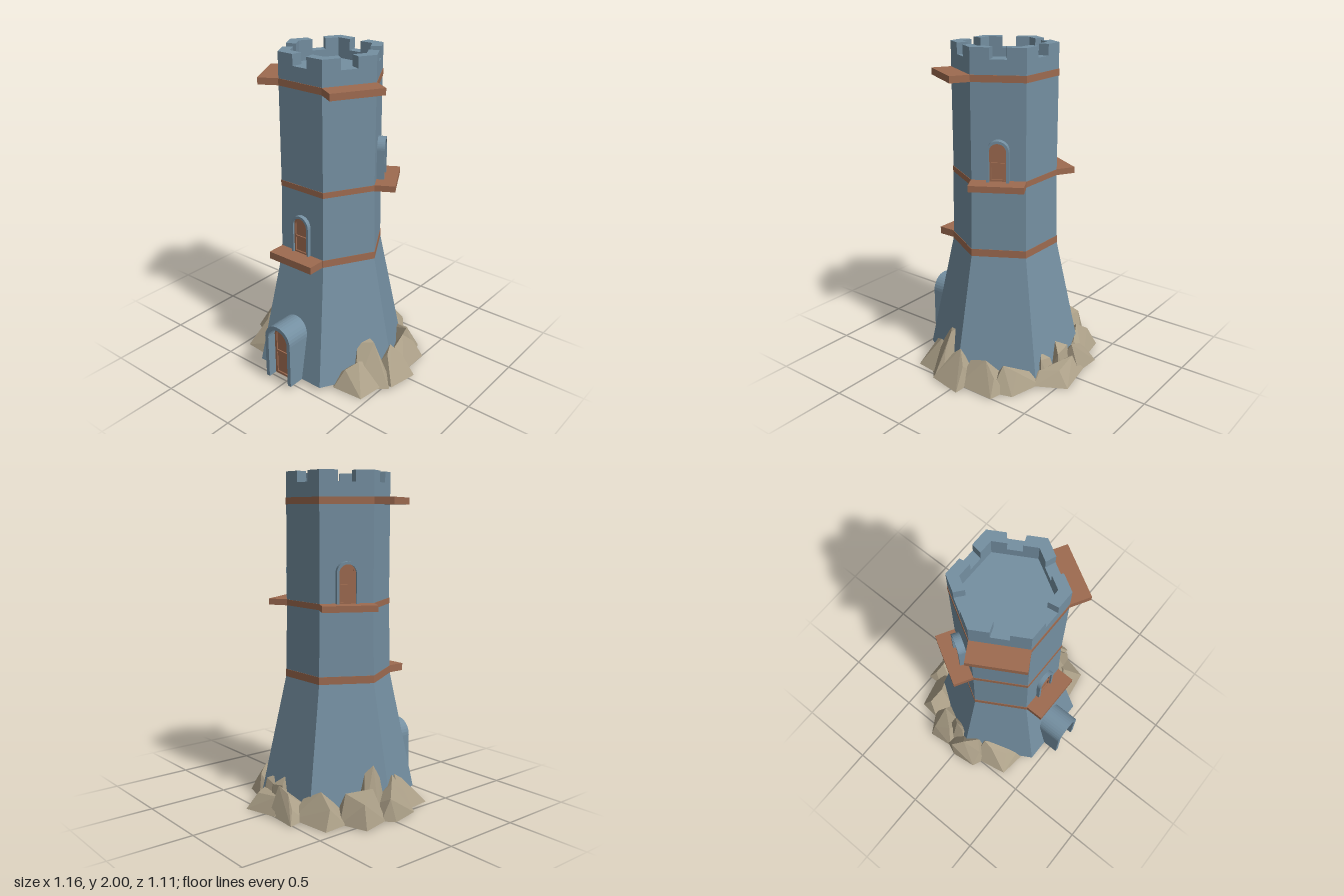
import * as THREE from 'three';
import { ConvexGeometry } from 'three/addons/geometries/ConvexGeometry.js';

const mat = (color) => new THREE.MeshStandardMaterial({ color, flatShading: true });
const stone = mat(0x748fa1), wood = mat(0x9e6b50), rockMat = mat(0xaca088);
const R = 0.315, INNER = 0.245, APOTHEM = 0.273, BASE = 0.03;

function add(parent, name, geo, material) {
  const flat = geo.index ? geo.toNonIndexed() : geo;
  flat.computeVertexNormals();
  const mesh = new THREE.Mesh(flat, material);
  mesh.name = name;
  parent.add(mesh);
  return mesh;
}

function extrude(shape, depth) {
  return new THREE.ExtrudeGeometry(shape, { depth, bevelEnabled: false, curveSegments: 8 });
}

// Round-headed outline standing on y0
function arch(w, y0, top, Type = THREE.Shape) {
  const p = new Type();
  p.moveTo(-w / 2, y0);
  p.lineTo(w / 2, y0);
  p.lineTo(w / 2, top - w / 2);
  p.absarc(0, top - w / 2, w / 2, 0, Math.PI, false);
  p.closePath();
  return p;
}

// Arched stone surround with a two-panel wooden door; z is distance from the tower axis
function doorway(name, w, h, rim, back, woodFront, front) {
  const g = new THREE.Group();
  g.name = name;
  const surround = new THREE.Shape();
  const r = w / 2 + rim, spring = h - w / 2;
  surround.moveTo(-r, 0);
  surround.lineTo(-w / 2, 0);
  surround.lineTo(-w / 2, spring);
  surround.absarc(0, spring, w / 2, Math.PI, 0, true);
  surround.lineTo(w / 2, 0);
  surround.lineTo(r, 0);
  surround.lineTo(r, spring);
  surround.absarc(0, spring, r, 0, Math.PI, false);
  surround.closePath();
  add(g, name + 'Surround', extrude(surround, front - back), stone).position.z = back;

  const edge = w * 0.1, mid = h * 0.46, pw = w - edge * 2;
  const rails = arch(w, 0, h);
  const lower = new THREE.Path();
  lower.moveTo(-pw / 2, edge);
  lower.lineTo(pw / 2, edge);
  lower.lineTo(pw / 2, mid - edge / 2);
  lower.lineTo(-pw / 2, mid - edge / 2);
  lower.closePath();
  rails.holes.push(lower, arch(pw, mid + edge / 2, h - edge, THREE.Path));
  add(g, name + 'Rails', extrude(rails, 0.01), wood).position.z = woodFront - 0.01;
  add(g, name + 'Panel', extrude(arch(w, 0, h), woodFront - 0.008 - back), wood).position.z = back;
  return g;
}

// Faceted boulder: outer foot points [deg, r], crown points [deg, r, y]; deg runs from +x towards -z
function rock(parent, foot, crown) {
  const at = (deg, r, y) => {
    const a = THREE.MathUtils.degToRad(deg);
    return new THREE.Vector3(r * Math.cos(a), y, -r * Math.sin(a));
  };
  const pts = crown.map(([a, r, y]) => at(a, r, y));
  foot.forEach(([a, r], i) => pts.push(at(a, r, i % 2 ? 0 : 0.015)));
  for (const [a] of [foot[0], foot[foot.length - 1]]) pts.push(at(a, 0.39, 0.005), at(a, 0.39, 0.05));
  add(parent, 'rock', new ConvexGeometry(pts), rockMat);
}

export function createModel() {
  const model = new THREE.Group();
  model.name = 'watchtower';
  const tower = new THREE.Group();
  tower.name = 'tower';
  tower.position.set(-0.015, 0, 0.033);
  model.add(tower);

  // Six-sided body with flared foot and sunken roof floor
  const profile = [[0, BASE], [0.485, BASE], [0.325, 0.775], [R, 1.23], [R, 1.935],
    [INNER, 1.935], [INNER, 1.88], [0, 1.88]].map(([x, y]) => new THREE.Vector2(x, y));
  add(tower, 'body', new THREE.LatheGeometry(profile, 6, Math.PI / 2), stone);

  // Corner battlements, leaving a notch in the middle of every side
  const notch = (radius, half, sign) => {
    const ap = radius * Math.cos(Math.PI / 6), c = Math.cos(Math.PI / 6);
    return new THREE.Vector2(ap * c + half * 0.5, sign * (ap * 0.5 - half * c));
  };
  const corner = new THREE.Shape([
    new THREE.Vector2(R, 0), notch(R, 0.05, 1), notch(INNER, 0.04, 1),
    new THREE.Vector2(INNER, 0), notch(INNER, 0.04, -1), notch(R, 0.05, -1),
  ]);
  for (let i = 0; i < 6; i++) {
    const geo = extrude(corner, 0.065).rotateX(-Math.PI / 2).rotateY(i * Math.PI / 3);
    add(tower, 'battlement', geo, stone).position.y = 1.935;
  }

  // Wooden bands
  for (const [y, h, r] of [[0.797, 0.045, 0.327], [1.228, 0.035, 0.318], [1.83, 0.04, 0.318]]) {
    const geo = new THREE.CylinderGeometry(r, r, h, 6, 1, false, Math.PI / 2);
    add(tower, 'band', geo, wood).position.y = y;
  }

  // Balcony planks, by side of the tower
  const side = (deg, object) => {
    const pivot = new THREE.Group();
    pivot.name = object.name + 'Side';
    pivot.rotation.y = THREE.MathUtils.degToRad(deg);
    pivot.add(object);
    tower.add(pivot);
  };
  for (const [deg, y, h] of [[0, 0.797, 0.045], [120, 1.228, 0.037], [-120, 1.228, 0.037],
    [60, 1.83, 0.04], [-60, 1.83, 0.04]]) {
    const plank = add(tower, 'balcony', new THREE.BoxGeometry(0.32, h, 0.16), wood);
    plank.position.set(0, y, APOTHEM + 0.04);
    side(deg, plank);
  }

  // Main door and the small doors above the balconies
  const door = doorway('mainDoor', 0.15, 0.36, 0.025, 0.3, 0.465, 0.522);
  door.position.y = BASE;
  side(0, door);
  for (const [deg, y, front] of [[0, 0.82, 0.302], [120, 1.246, 0.318], [-120, 1.246, 0.318]]) {
    const small = doorway('balconyDoor', 0.1, 0.228, 0.015, 0.25, 0.291, front);
    small.position.y = y;
    side(deg, small);
  }

  // Boulders round the foot, leaving the doorstep free
  const rocks = new THREE.Group();
  rocks.name = 'rocks';
  model.add(rocks);
  // left flank
  rock(rocks, [[-54, 0.47], [-37, 0.58], [-20, 0.53]], [[-45, 0.45, 0.13], [-34, 0.44, 0.17], [-25, 0.43, 0.15]]);
  rock(rocks, [[-38, 0.5], [-17, 0.56], [-12, 0.52]], [[-32, 0.37, 0.26], [-20, 0.36, 0.285], [-19, 0.42, 0.265], [-17, 0.47, 0.17]]);
  rock(rocks, [[-16, 0.572], [5, 0.578], [8, 0.5]], [[-9, 0.46, 0.17], [-3, 0.44, 0.21], [4, 0.49, 0.13]]);
  rock(rocks, [[2, 0.52], [27, 0.565], [36, 0.5]], [[6, 0.43, 0.15], [20, 0.44, 0.18], [28, 0.5, 0.1]]);
  rock(rocks, [[26, 0.52], [40, 0.535], [62, 0.465]], [[34, 0.45, 0.16], [44, 0.46, 0.12], [56, 0.42, 0.09]]);
  // back
  rock(rocks, [[57, 0.47], [76, 0.576], [101, 0.53]], [[64, 0.43, 0.09], [76, 0.5, 0.09], [96, 0.47, 0.11]]);
  rock(rocks, [[64, 0.45], [72, 0.46], [80, 0.44]], [[66, 0.42, 0.15], [70, 0.38, 0.17], [78, 0.4, 0.13]]);
  rock(rocks, [[82, 0.44], [90, 0.46], [98, 0.45]], [[83, 0.43, 0.15], [90, 0.37, 0.2], [97, 0.43, 0.17]]);
  rock(rocks, [[95, 0.52], [116, 0.572], [121, 0.48]], [[97, 0.46, 0.18], [108, 0.48, 0.15], [114, 0.52, 0.08]]);
  rock(rocks, [[112, 0.5], [137, 0.6], [149, 0.53]], [[117, 0.43, 0.12], [132, 0.45, 0.18], [139, 0.54, 0.11]]);
  // right flank
  rock(rocks, [[145, 0.52], [159, 0.61], [174, 0.555]], [[150, 0.45, 0.17], [159, 0.57, 0.14], [168, 0.5, 0.2]]);
  rock(rocks, [[162, 0.5], [172, 0.52], [182, 0.48]], [[166, 0.43, 0.27], [172, 0.45, 0.32], [178, 0.45, 0.24]]);
  rock(rocks, [[171, 0.55], [180, 0.58], [196, 0.584], [202, 0.52]], [[177, 0.56, 0.14], [184, 0.5, 0.2], [194, 0.44, 0.22], [198, 0.5, 0.13]]);
  rock(rocks, [[194, 0.53], [218, 0.587], [236, 0.47]], [[200, 0.43, 0.21], [207, 0.46, 0.17], [220, 0.47, 0.1], [231, 0.45, 0.08]]);
  return model;
}
